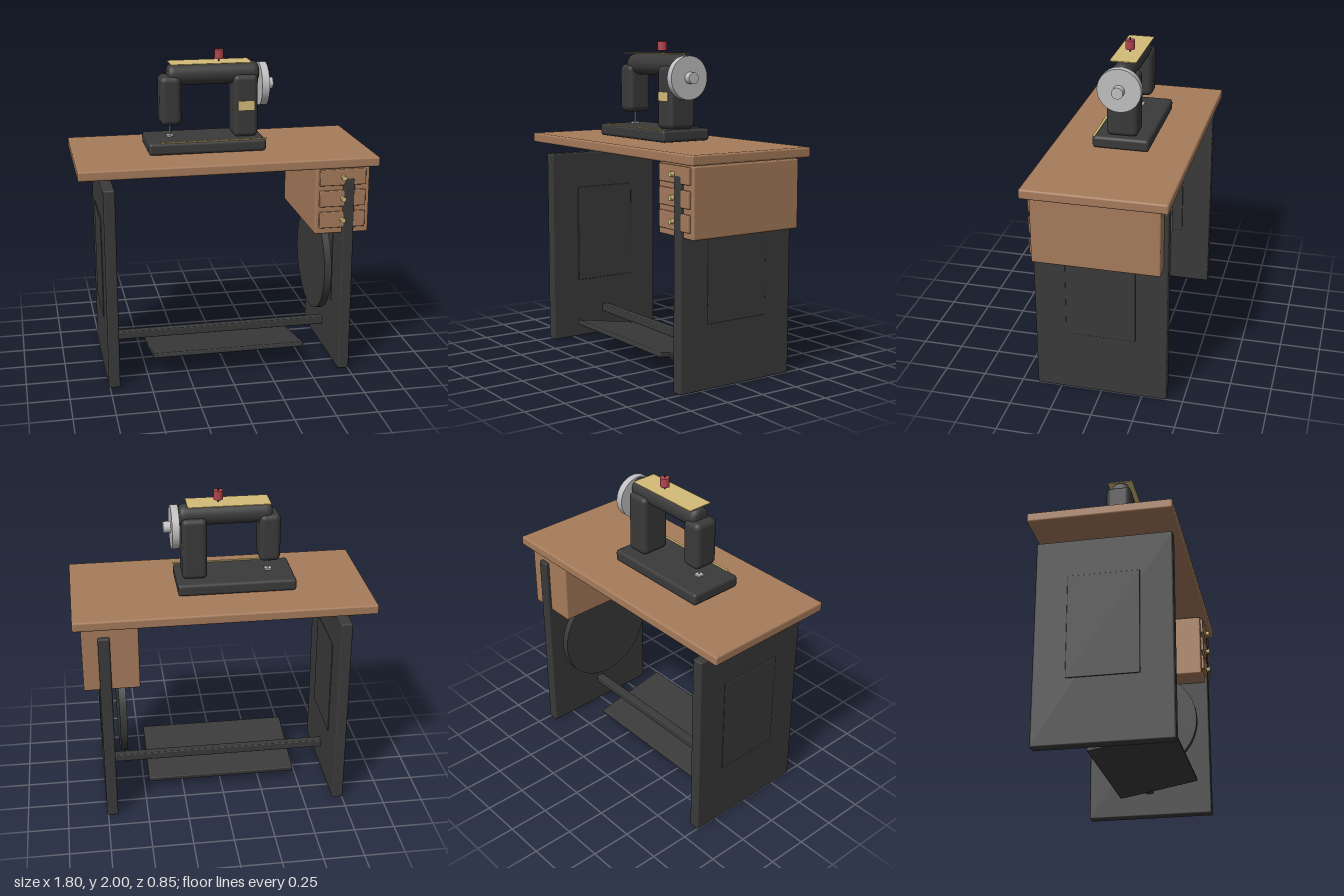
import * as THREE from 'three';
import { RoundedBoxGeometry } from 'three/addons/geometries/RoundedBoxGeometry.js';

const paint = (name, color) => {
  const m = new THREE.MeshStandardMaterial({ color });
  m.name = name;
  return m;
};

export function createModel() {
  const model = new THREE.Group();
  model.name = 'treadleSewingTable';
  const wood = paint('wood', 0xa67b5b);
  const iron = paint('castIron', 0x3a3a3a);
  const brass = paint('brass', 0xd4bc78);
  const steel = paint('steel', 0xc0c0c2);
  const red = paint('redThread', 0xb5474f);

  const add = (name, geometry, material, x, y, z, parent = model) => {
    const mesh = new THREE.Mesh(geometry, material);
    mesh.name = name;
    mesh.position.set(x, y, z);
    parent.add(mesh);
    return mesh;
  };
  const box = (w, h, d, r = 0.01) => new RoundedBoxGeometry(w, h, d, 3, r);
  const rod = (r, h, sides = 32) => new THREE.CylinderGeometry(r, r, h, sides);
  const rodX = (r, h, sides = 32) => rod(r, h, sides).rotateZ(-Math.PI / 2);

  // Table top
  add('tableTop', box(1.8, 0.06, 0.85, 0.012), wood, 0, 1.35, 0);

  // Iron end panels with a raised field on both faces
  for (const side of [-1, 1]) {
    const end = new THREE.Group();
    end.name = side < 0 ? 'rightEndPanel' : 'leftEndPanel';
    model.add(end);
    add('panel', box(0.07, 1.25, 0.8), iron, side * 0.722, 0.628, 0, end);
    add('raisedField', box(0.08, 0.63, 0.42, 0.005), iron, side * 0.722, 0.705, 0, end);
  }

  // Cross bar, drive wheel and tilted foot pedal
  add('crossBar', box(1.4, 0.05, 0.05, 0.006), iron, 0, 0.175, 0);
  add('driveWheel', rodX(0.33, 0.045, 48), iron, 0.625, 0.62, 0);
  add('footPedal', box(0.945, 0.03, 0.5, 0.006), iron, 0, 0.12, 0.095).rotation.x = -0.18;

  // Drawer cabinet
  const cabinet = new THREE.Group();
  cabinet.name = 'drawerCabinet';
  model.add(cabinet);
  add('cabinetBody', box(0.335, 0.41, 0.755), wood, 0.685, 1.107, 0.003, cabinet);
  for (const y of [1.257, 1.125, 0.992]) {
    add('drawerFront', box(0.285, 0.1, 0.03, 0.006), wood, 0.683, y, 0.383, cabinet);
    add('drawerKnob', rod(0.015, 0.03, 16).rotateX(Math.PI / 2), brass, 0.683, y, 0.408, cabinet);
  }

  // Sewing machine body
  const machine = new THREE.Group();
  machine.name = 'sewingMachine';
  model.add(machine);
  add('machineBase', box(0.717, 0.075, 0.345, 0.02), iron, -0.097, 1.422, 0, machine);
  add('pillar', box(0.15, 0.38, 0.19, 0.03), iron, 0.151, 1.647, 0, machine);
  add('head', box(0.13, 0.3, 0.16, 0.035), iron, -0.305, 1.69, 0, machine);

  // Round arm with softened ends, turned around its long axis
  const profile = [[0, -0.28], [0.04, -0.28], [0.055, -0.273], [0.063, -0.26], [0.066, -0.24]];
  const armPoints = [...profile, ...profile.map(([r, h]) => [r, -h]).reverse()]
    .map(([r, h]) => new THREE.Vector2(r, h));
  add('arm', new THREE.LatheGeometry(armPoints, 32).rotateZ(-Math.PI / 2), iron, -0.04, 1.842, 0, machine);

  // Brass trim
  add('armTrim', new THREE.BoxGeometry(0.495, 0.006, 0.16), brass, -0.058, 1.91, 0, machine);
  add('baseTrim', new THREE.BoxGeometry(0.645, 0.006, 0.015), brass, -0.058, 1.461, 0.16, machine);
  add('pillarPlate', new THREE.BoxGeometry(0.1, 0.055, 0.008), brass, 0.15, 1.653, 0.096, machine);

  // Needle and presser foot
  add('needle', rod(0.005, 0.1, 10), steel, -0.305, 1.505, 0, machine);
  add('presserFoot', new THREE.BoxGeometry(0.042, 0.01, 0.04), steel, -0.305, 1.467, 0, machine);

  // Hand wheel and hub
  add('handWheel', rodX(0.132, 0.045), steel, 0.264, 1.768, 0, machine);
  add('handWheelHub', rodX(0.035, 0.05, 24), steel, 0.306, 1.768, 0, machine);

  // Thread spool on its pin
  add('spoolPin', rod(0.005, 0.1, 10), iron, 0, 1.95, 0, machine);
  add('threadSpool', rod(0.029, 0.055, 10), red, 0, 1.957, 0, machine);

  return model;
}
